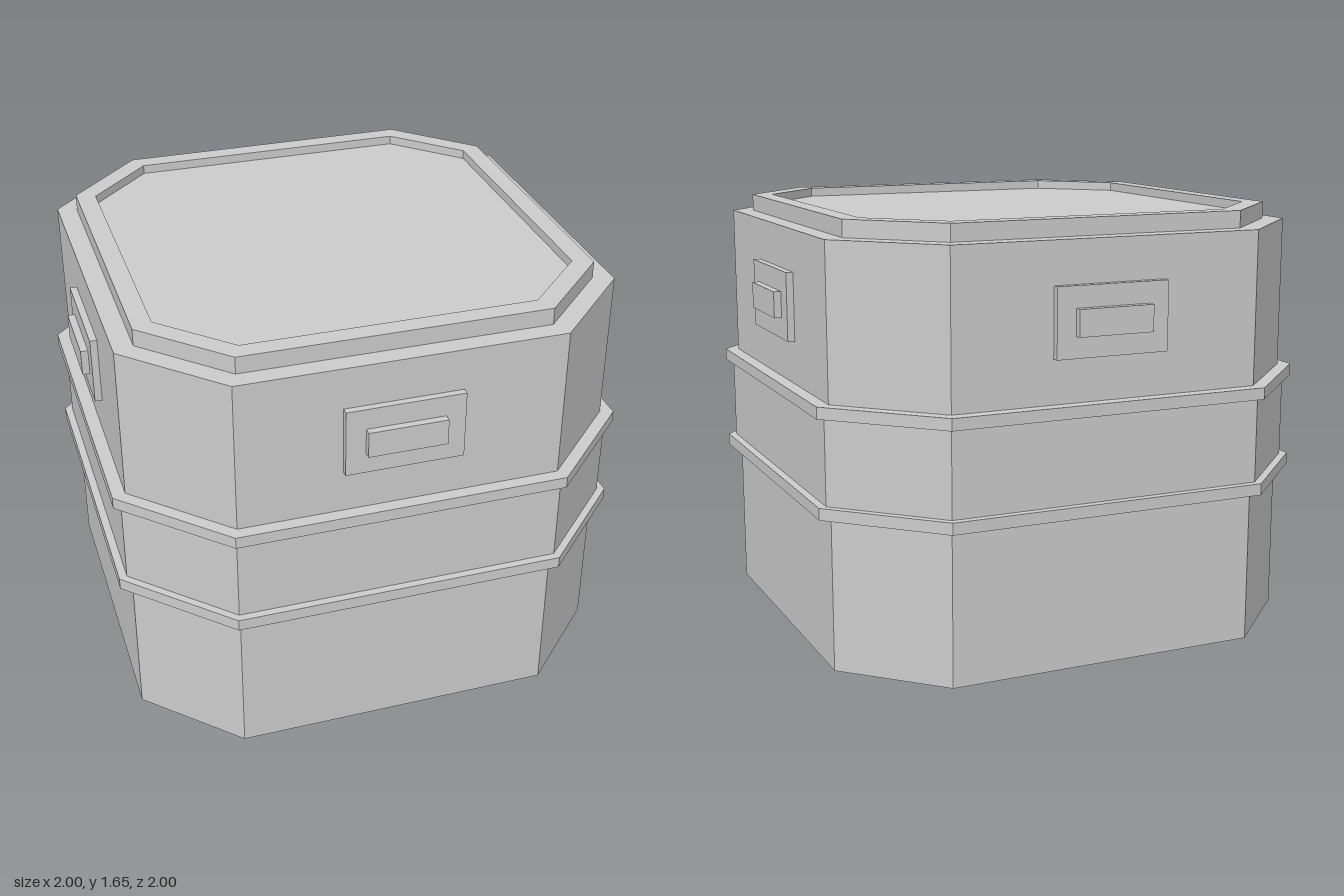
import * as THREE from 'three';

const material = new THREE.MeshStandardMaterial({ color: 0xcccccc, flatShading: true });

// Square outline with cut corners: h = half width, c = half length of each straight side
function octagon(h, c) {
  return [[h, -c], [h, c], [c, h], [-c, h], [-h, c], [-h, -c], [-c, -h], [c, -h]]
    .map(([x, y]) => new THREE.Vector2(x, y));
}

// Upright prism from y0 to y1, optionally with a matching opening
function prism(name, h, c, y0, y1, hole) {
  const shape = new THREE.Shape(octagon(h, c));
  if (hole) shape.holes.push(new THREE.Path(octagon(...hole).reverse()));
  const geometry = new THREE.ExtrudeGeometry(shape, { depth: y1 - y0, bevelEnabled: false });
  geometry.rotateX(-Math.PI / 2).translate(0, y0, 0);
  const mesh = new THREE.Mesh(geometry, material);
  mesh.name = name;
  return mesh;
}

// Box on the front face, reaching from inside the wall out to z1
function sideBox(name, w, h, y, z1) {
  const z0 = 0.92;
  const mesh = new THREE.Mesh(new THREE.BoxGeometry(w, h, z1 - z0), material);
  mesh.position.set(0, y, (z0 + z1) / 2);
  mesh.name = name;
  return mesh;
}

export function createModel() {
  const model = new THREE.Group();
  model.name = 'container';

  // Body with a slightly wider waist between two raised bands
  model.add(
    prism('body', 0.945, 0.612, 0, 1.585),
    prism('waist', 0.965, 0.62, 0.61, 0.975),
    prism('lowerBand', 0.995, 0.63, 0.585, 0.63),
    prism('upperBand', 0.995, 0.63, 0.955, 1.0),
  );

  // Lid: raised rim around a recessed panel
  model.add(
    prism('lidRim', 0.87, 0.58, 1.585, 1.65, [0.795, 0.548]),
    prism('lidPanel', 0.797, 0.549, 1.58, 1.615),
  );

  // A handle plate with a grip on each of the four sides
  for (let i = 0; i < 4; i++) {
    const handle = new THREE.Group();
    handle.name = 'handle' + (i + 1);
    handle.add(
      sideBox('handlePlate', 0.444, 0.26, 1.295, 0.972),
      sideBox('handleGrip', 0.296, 0.1, 1.295, 1.0),
    );
    handle.rotation.y = (i * Math.PI) / 2;
    model.add(handle);
  }

  return model;
}
